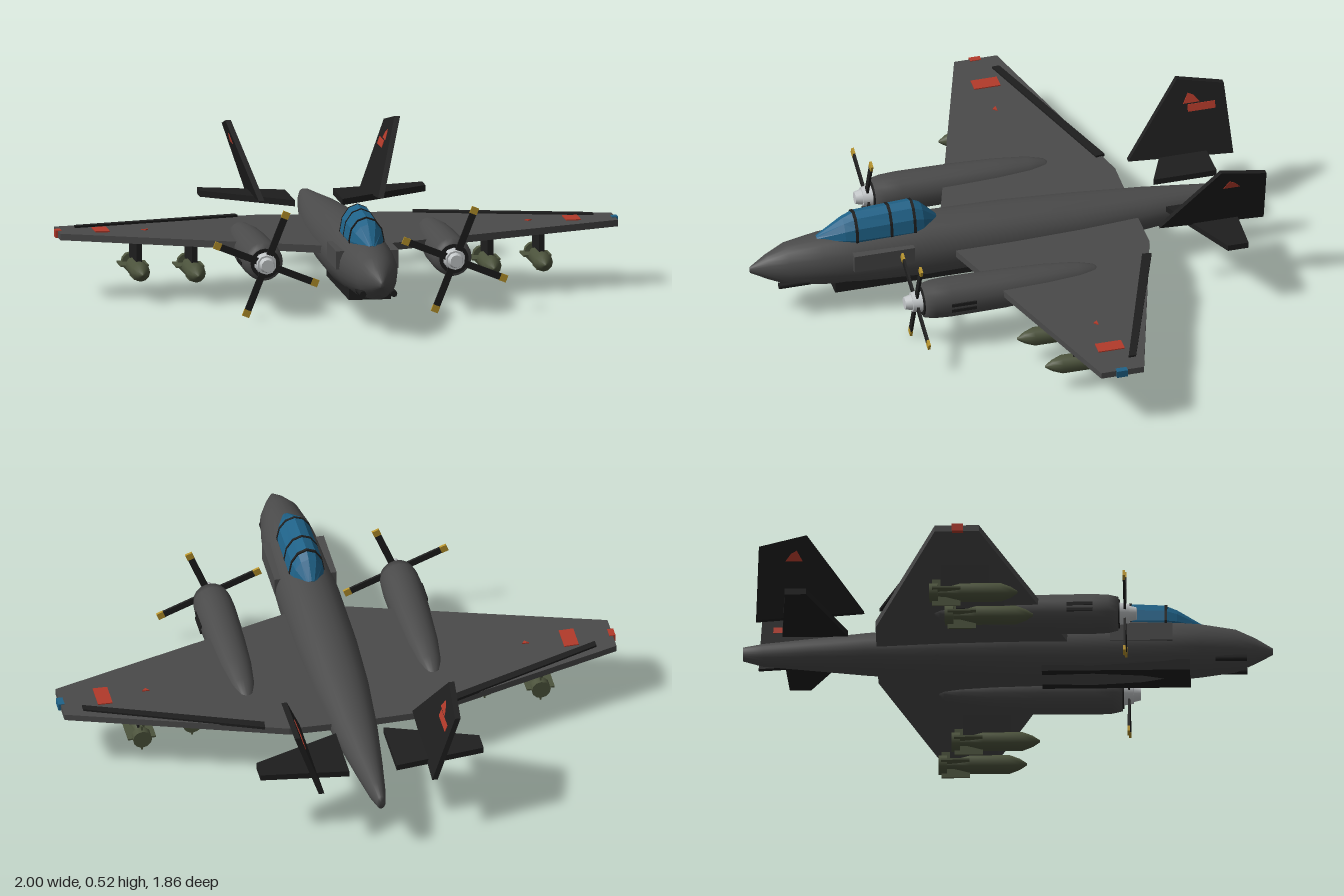
import * as THREE from 'three';
import { ConvexGeometry } from 'three/addons/geometries/ConvexGeometry.js';

const mat = (name, color) => Object.assign(new THREE.MeshStandardMaterial({ color }), { name });

// Closed elliptical loft through sections [z, centreY, radiusX, radiusY], front to back
function loft(sections, sides, faceted = false) {
  const pos = [], idx = [];
  const first = sections[0], last = sections[sections.length - 1];
  const rings = [[first[0], first[1], 0, 0], ...sections, [last[0], last[1], 0, 0]];
  rings.forEach(([z, cy, rx, ry], i) => {
    for (let j = 0; j < sides; j++) {
      const a = (j / sides) * Math.PI * 2;
      pos.push(rx * Math.cos(a), cy + ry * Math.sin(a), z);
      if (i === rings.length - 1) continue;
      const p = i * sides + j, q = i * sides + (j + 1) % sides;
      idx.push(p, p + sides, q, q, p + sides, q + sides);
    }
  });
  let g = new THREE.BufferGeometry();
  g.setAttribute('position', new THREE.Float32BufferAttribute(pos, 3));
  g.setIndex(idx);
  if (faceted) g = g.toNonIndexed();
  g.computeVertexNormals();
  return g;
}

// Convex slab over an outline of [x, z], between two height rules
const slab = (outline, low, high, s) => new ConvexGeometry(outline.flatMap(([x, z]) => [
  new THREE.Vector3(s * x, low(x), z), new THREE.Vector3(s * x, high(x), z)]));

export function createModel() {
  const model = new THREE.Group();
  const grey = mat('hull grey', 0x4a4a4a), black = mat('dark trim', 0x1e1e1e);
  const blue = mat('canopy blue', 0x1f6288), red = mat('marking red', 0xb23a2a);
  const yellow = mat('tip yellow', 0xb8942c), olive = mat('bomb olive', 0x4c533c);
  const pale = mat('spinner grey', 0xc4c8ca);

  const add = (name, geo, m, x = 0, y = 0, z = 0, parent = model) => {
    const mesh = new THREE.Mesh(geo, m);
    mesh.name = name;
    mesh.position.set(x, y, z);
    parent.add(mesh);
    return mesh;
  };
  const box = (name, w, h, d, m, x, y, z, parent) => add(name, new THREE.BoxGeometry(w, h, d), m, x, y, z, parent);
  const rod = (name, r1, r2, len, sides, m, x, y, z, parent) =>
    add(name, new THREE.CylinderGeometry(r1, r2, len, sides).rotateX(Math.PI / 2), m, x, y, z, parent);

  // Fuselage
  add('fuselage', loft([
    [0.93, 0.203, 0.008, 0.012], [0.87, 0.206, 0.04, 0.046], [0.8, 0.207, 0.071, 0.077],
    [0.68, 0.209, 0.092, 0.094], [0.55, 0.208, 0.103, 0.105], [0.3, 0.206, 0.11, 0.115],
    [0, 0.206, 0.11, 0.108], [-0.25, 0.207, 0.1, 0.092], [-0.5, 0.208, 0.078, 0.074],
    [-0.7, 0.208, 0.053, 0.056], [-0.86, 0.208, 0.03, 0.042], [-0.93, 0.212, 0.016, 0.026],
  ], 24), grey);
  box('bellyFairing', 0.15, 0.04, 0.52, black, 0, 0.123, 0.38);

  // Canopy with frames
  add('canopy', loft([
    [0.69, 0.295, 0.014, 0.008], [0.595, 0.3, 0.052, 0.063], [0.55, 0.3, 0.062, 0.083],
    [0.35, 0.3, 0.063, 0.095], [0.31, 0.3, 0.055, 0.076], [0.255, 0.3, 0.02, 0.022],
  ], 12, true), blue);
  for (const [z, r] of [[0.555, 0.082], [0.43, 0.091], [0.345, 0.094]])
    add('canopyFrame', loft([[z + 0.005, 0.3, 0.064, r + 0.002], [z - 0.005, 0.3, 0.064, r + 0.002]], 12, true), black);

  const wingLow = x => 0.198 + 0.022 * x, wingTop = x => 0.225 + 0.018 * x;
  const onWing = x => wingTop(x) + 0.004, inWing = x => wingTop(x) - 0.003;
  const finX = y => 0.205 + (y - 0.25) * 0.345;
  // Canted slab from [y, z] corners, following the lean of the tail fin
  const fin = (corners, half, s) => new ConvexGeometry(corners.flatMap(([y, z]) =>
    [-half, half].map(o => new THREE.Vector3(s * (finX(y) + o), y, z))));

  for (const s of [1, -1]) {
    // Wing, flap strip, markings and tip lamp
    add('wing', slab([[0, -0.46], [0.23, -0.46], [0.99, -0.235], [0.99, -0.08], [0.11, 0.21], [0, 0.24]],
      wingLow, wingTop, s), grey);
    add('flapStrip', slab([[0.315, -0.445], [0.92, -0.225], [0.92, -0.198], [0.31, -0.412]],
      inWing, x => wingTop(x) + 0.007, s), black);
    add('wingMarking', slab([[0.81, -0.2], [0.862, -0.2], [0.862, -0.105], [0.81, -0.105]], inWing, onWing, s), red);
    add('wingSmallMarking', slab([[0.668, -0.15], [0.694, -0.15], [0.68, -0.136]], inWing, onWing, s), red);
    box('tipLamp', 0.022, 0.026, 0.04, s > 0 ? blue : red, s * 0.988, 0.232, -0.155);

    // Tailplane and canted fin
    const tailY = x => 0.25 + 0.06 * (x - 0.085);
    add('tailplane', slab([[0.085, -0.79], [0.085, -0.56], [0.4, -0.7], [0.4, -0.775]],
      x => tailY(x) - 0.012, x => tailY(x) + 0.01, s), black);
    add('tailFin', fin([[0.245, -0.88], [0.27, -0.5], [0.527, -0.7], [0.49, -0.868]], 0.01, s), black);
    add('finMarking', fin([[0.44, -0.715], [0.475, -0.735], [0.465, -0.755], [0.44, -0.775]], 0.012, s), red);
    add('finInnerMarking', fin([[0.41, -0.73], [0.435, -0.73], [0.435, -0.83], [0.41, -0.83]], 0.005, s), red)
      .position.x = -s * 0.007;

    // Nose gun and side panel
    rod('noseGun', 0.012, 0.012, 0.11, 8, black, s * 0.055, 0.155, 0.785);
    box('sidePanel', 0.03, 0.065, 0.22, grey, s * 0.096, 0.235, 0.47);

    // Engine nacelle, intake, exhausts and spinner
    const engine = new THREE.Group();
    engine.name = 'engine';
    engine.position.set(s * 0.335, 0.2, 0);
    model.add(engine);
    add('nacelle', loft([
      [0.395, 0, 0.06, 0.06], [0.36, 0, 0.068, 0.068], [0.3, 0, 0.071, 0.071], [0.1, 0, 0.068, 0.069],
      [-0.05, 0.003, 0.06, 0.061], [-0.17, 0.008, 0.045, 0.046], [-0.23, 0.012, 0.027, 0.027], [-0.25, 0.013, 0.01, 0.01],
    ], 20), grey, 0, 0, 0, engine);
    rod('intake', 0.052, 0.052, 0.012, 20, black, 0, 0, 0.394, engine);
    for (const y of [-0.014, 0.008]) box('exhaust', 0.012, 0.012, 0.09, black, s * 0.067, y, 0.26, engine);
    rod('spinner', 0.034, 0.04, 0.035, 10, pale, 0, 0, 0.417, engine);
    rod('spinnerTip', 0.022, 0.028, 0.025, 10, pale, 0, 0, 0.447, engine);

    // Four-blade propeller
    for (let i = 0; i < 4; i++) {
      const blade = new THREE.Group();
      blade.name = 'propellerBlade';
      blade.position.z = 0.418;
      blade.rotation.z = -0.38 + i * Math.PI / 2;
      engine.add(blade);
      box('blade', 0.024, 0.15, 0.008, black, 0, 0.1, 0, blade);
      box('bladeTip', 0.026, 0.025, 0.009, yellow, 0, 0.186, 0, blade);
    }

    // Bombs under the wing
    for (const [x, nose] of [[0.525, 0.1], [0.715, 0.05]]) {
      const bomb = new THREE.Group();
      bomb.name = 'bomb';
      bomb.position.set(s * x, 0.11, nose);
      model.add(bomb);
      add('bombBody', loft([
        [0, 0, 0.004, 0.004], [-0.025, 0, 0.02, 0.02], [-0.06, 0, 0.033, 0.033],
        [-0.2, 0, 0.033, 0.033], [-0.255, 0, 0.018, 0.018], [-0.29, 0, 0.016, 0.016],
      ], 12), olive, 0, 0, 0, bomb);
      rod('tailRing', 0.034, 0.034, 0.03, 12, olive, 0, 0, -0.295, bomb);
      box('bombFin', 0.1, 0.006, 0.1, olive, 0, 0, -0.25, bomb);
      box('bombFin', 0.006, 0.1, 0.1, olive, 0, 0, -0.25, bomb);
      box('pylon', 0.02, 0.085, 0.17, black, 0, 0.065, -0.185, bomb);
    }
  }
  return model;
}
